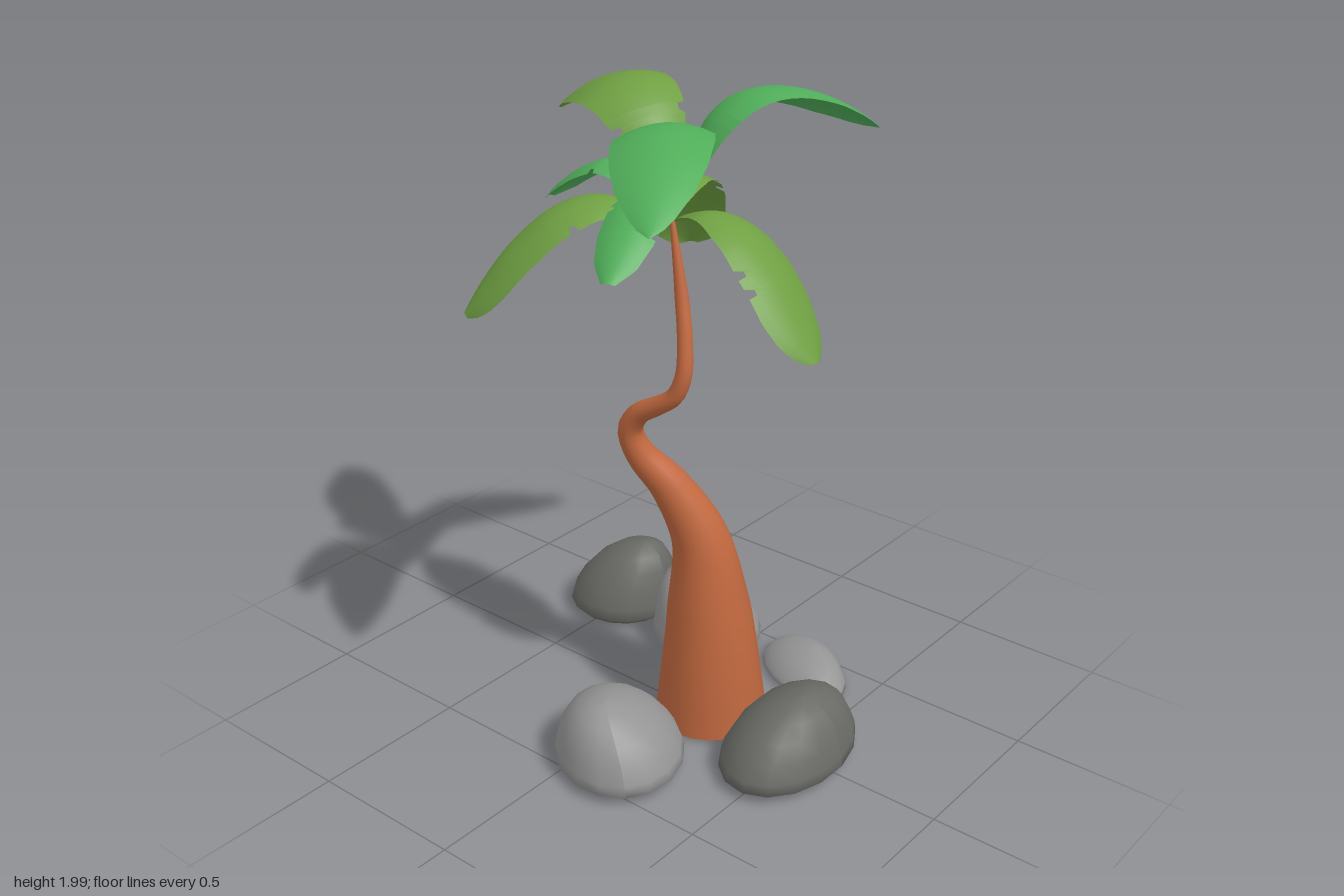
import * as THREE from 'three';

const paint = (name, color, side = THREE.FrontSide) => {
  const m = new THREE.MeshStandardMaterial({ color, side });
  m.name = name;
  return m;
};

// piecewise linear lookup in [[key, value], ...]
const lookup = (table, k) => {
  for (let i = 1; i < table.length; i++) {
    const [a, va] = table[i - 1], [b, vb] = table[i];
    if (k <= b) return va + (vb - va) * Math.max(0, (k - a) / (b - a));
  }
  return table[table.length - 1][1];
};

const CROWN = [-0.04, 0.045]; // x, z where the leaves meet

// winding trunk: tube whose rings are rescaled to taper upward, open at the base
function trunkGeometry() {
  const path = new THREE.CatmullRomCurve3([
    [0.026, 0.015, 0.155], [0.024, 0.2, 0.153], [0.027, 0.4, 0.14], [0.025, 0.62, 0.105],
    [-0.02, 0.79, 0.025], [-0.075, 0.9, -0.05], [-0.095, 0.98, -0.07], [-0.096, 1.04, -0.037],
    [-0.092, 1.085, 0.033], [-0.085, 1.13, 0.093], [-0.078, 1.2, 0.12], [-0.064, 1.3, 0.113],
    [-0.05, 1.42, 0.09], [CROWN[0], 1.65, CROWN[1]],
  ].map((p) => new THREE.Vector3(...p)));
  const radii = [[0.015, 0.176], [0.1, 0.167], [0.2, 0.155], [0.4, 0.13], [0.62, 0.09], [0.79, 0.063], [0.9, 0.045],
    [1, 0.037], [1.1, 0.028], [1.2, 0.025], [1.42, 0.021], [1.65, 0.007]];
  const rows = 72, sides = 20;
  const geo = new THREE.TubeGeometry(path, rows, 1, sides, false);
  const pos = geo.attributes.position, v = new THREE.Vector3();
  for (let i = 0; i <= rows; i++) {
    const c = path.getPointAt(i / rows);
    const r = lookup(radii, c.y);
    for (let j = 0; j <= sides; j++) {
      const k = i * (sides + 1) + j;
      v.fromBufferAttribute(pos, k).sub(c).multiplyScalar(r).add(c);
      pos.setXYZ(k, v.x, v.y, v.z);
    }
  }
  return geo;
}

// boulder: lathed dome with a shallow underside, its peak leaning sideways
function rockGeometry(rx, h, rz, leanX, leanZ) {
  const profile = [[0, 0], [0.6, 0.01], [0.88, 0.045], [1, 0.13], [0.97, 0.27], [0.87, 0.48],
    [0.7, 0.71], [0.47, 0.88], [0.22, 0.975], [0, 1]].map((p) => new THREE.Vector2(...p));
  const geo = new THREE.LatheGeometry(profile, 16);
  const pos = geo.attributes.position;
  for (let i = 0; i < pos.count; i++) {
    const y = pos.getY(i);
    pos.setXYZ(i, pos.getX(i) * rx + leanX * y * y, y * h, pos.getZ(i) * rz + leanZ * y * y);
  }
  geo.computeVertexNormals();
  return geo;
}

// leaf blade along +x: arched spine, curled and rolled cross-section, nicked edges
function leafGeometry(length, kind, roll, nicks) {
  const spine = new THREE.CatmullRomCurve3(
    kind.spine.map(([r, y]) => new THREE.Vector3(r * length, y, 0)));
  const cols = 8, stops = new Set();
  for (let i = 0; i <= 28; i++) stops.add(i / 28);
  nicks.forEach(([t]) => [-0.022, -0.006, 0.016, 0.02].forEach((d) => stops.add(t + d)));
  const rows = [...stops].sort((a, b) => a - b);
  const pos = [], index = [];
  rows.forEach((t, i) => {
    const p = spine.getPointAt(t), tan = spine.getTangentAt(t);
    const half = Math.max(lookup(kind.width, t), 0.0005);
    for (let j = 0; j <= cols; j++) {
      const v = (j / cols) * 2 - 1;
      let cut = 1;
      for (const [nt, side] of nicks) {
        if (Math.sign(v) === side && t > nt - 0.01 && t < nt + 0.018) cut = 0.8;
      }
      const s = v * cut, lift = half * (roll * s - kind.curl * s * s);
      pos.push(p.x - tan.y * lift, p.y + tan.x * lift, s * half);
      if (i && j) {
        const a = (i - 1) * (cols + 1) + j - 1, b = a + cols + 1;
        index.push(a, a + 1, b, a + 1, b + 1, b);
      }
    }
  });
  const geo = new THREE.BufferGeometry();
  geo.setAttribute('position', new THREE.Float32BufferAttribute(pos, 3));
  geo.setIndex(index);
  geo.computeVertexNormals();
  return geo;
}

// spine: [fraction of reach, height]; width: [fraction of length, half width]
const HIGH = {
  curl: 0.28,
  spine: [[0, 1.64], [0.07, 1.78], [0.17, 1.91], [0.29, 1.975], [0.44, 1.992], [0.64, 1.96], [0.82, 1.9], [1, 1.82]],
  width: [[0, 0.004], [0.12, 0.05], [0.25, 0.09], [0.35, 0.118], [0.45, 0.132], [0.57, 0.137],
    [0.7, 0.127], [0.82, 0.1], [0.92, 0.06], [0.97, 0.03], [1, 0]],
};
const DROOPING = {
  curl: 0.3,
  spine: [[0, 1.64], [0.15, 1.685], [0.35, 1.715], [0.55, 1.68], [0.75, 1.585], [0.9, 1.475], [1, 1.385]],
  width: [[0, 0.004], [0.12, 0.04], [0.25, 0.08], [0.4, 0.11], [0.6, 0.124], [0.8, 0.119],
    [0.9, 0.098], [0.96, 0.068], [1, 0.025]],
};
const SMALL = {
  curl: 0.35,
  spine: [[0, 1.64], [0.15, 1.71], [0.32, 1.765], [0.48, 1.78], [0.65, 1.75], [0.85, 1.685], [1, 1.62]],
  width: [[0, 0.004], [0.15, 0.035], [0.35, 0.068], [0.55, 0.084], [0.75, 0.08], [0.9, 0.06], [1, 0.02]],
};

export function createModel() {
  const model = new THREE.Group();
  const bark = paint('bark', 0xc46a40, THREE.DoubleSide);
  const lime = paint('lime leaf', 0x6f9f42, THREE.DoubleSide);
  const green = paint('green leaf', 0x50ad59, THREE.DoubleSide);
  const darkStone = paint('dark stone', 0x6a6b66);
  const lightStone = paint('light stone', 0x959595);

  const add = (name, geo, mat, x, y, z, turn = 0) => {
    const mesh = new THREE.Mesh(geo, mat);
    mesh.name = name;
    mesh.position.set(x, y, z);
    mesh.rotation.y = turn;
    model.add(mesh);
  };

  add('trunk', trunkGeometry(), bark, 0, 0, 0);

  // leaves: tip x, tip z, roll, edge nicks [fraction, side]
  const leaves = [
    ['highLeafBack', HIGH, lime, 0.225, -0.595, 0.22, [[0.34, 1], [0.3, -1]]],
    ['highLeafRight', HIGH, green, -0.61, 0.44, -0.08, [[0.34, -1]]],
    ['highLeafLeft', HIGH, green, 0.61, 0.305, 0.22, [[0.34, -1]]],
    ['droopingLeafFront', DROOPING, lime, -0.125, 0.61, 0.2, [[0.42, -1], [0.6, 1], [0.68, 1], [0.5, -1]]],
    ['droopingLeafBackRight', DROOPING, lime, -0.46, -0.375, 0.12, [[0.5, 1], [0.75, 1], [0.42, -1]]],
    ['droopingLeafBackLeft', DROOPING, lime, 0.448, -0.28, 0.12, [[0.46, 1], [0.55, 1], [0.7, -1]]],
    ['smallLeafRight', SMALL, green, -0.5, 0.205, 0, [[0.55, 1], [0.7, -1]]],
    ['smallLeafBack', SMALL, green, -0.03, -0.44, 0, [[0.5, -1], [0.65, 1]]],
  ];
  for (const [name, kind, mat, tx, tz, roll, nicks] of leaves) {
    const dx = tx - CROWN[0], dz = tz - CROWN[1];
    const geo = leafGeometry(Math.hypot(dx, dz), kind, roll, nicks);
    add(name, geo, mat, CROWN[0], 0, CROWN[1], Math.atan2(-dz, dx));
  }

  // rocks: centre x, z; radius x, height, radius z; peak lean x, z; turn
  const rocks = [
    ['rockFront', darkStone, -0.013, 0.484, 0.278, 0.23, 0.187, 0.0, 0.045, 0.12],
    ['rockRight', lightStone, -0.345, 0.09, 0.2, 0.235, 0.255, -0.045, 0.05, -Math.PI / 4],
    ['rockBackLeft', darkStone, 0.355, -0.495, 0.188, 0.27, 0.188, 0.02, 0.08, 0],
    ['rockLeft', lightStone, 0.363, -0.125, 0.185, 0.27, 0.21, -0.064, -0.035, -Math.PI / 4],
    ['rockSmall', lightStone, 0.382, 0.265, 0.115, 0.1, 0.195, 0.03, 0, -0.45],
  ];
  for (const [name, mat, x, z, rx, h, rz, lx, lz, turn] of rocks) {
    add(name, rockGeometry(rx, h, rz, lx, lz), mat, x, 0.01, z, turn);
  }
  return model;
}
